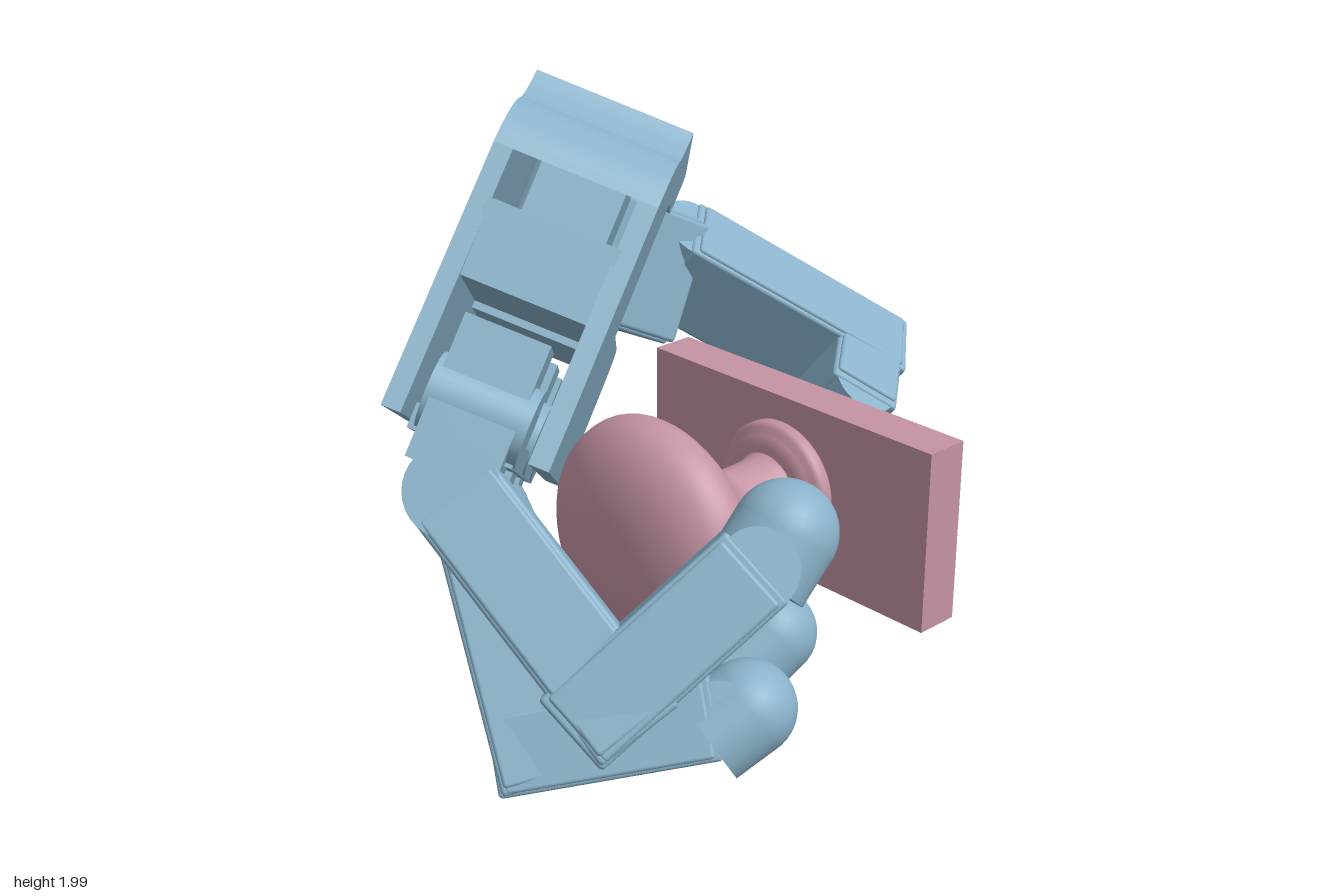
import * as THREE from 'three';
import { RoundedBoxGeometry } from 'three/addons/geometries/RoundedBoxGeometry.js';

const steel = new THREE.MeshStandardMaterial({ color: 0x8ab2ca });
const rose = new THREE.MeshStandardMaterial({ color: 0xc594a4 });
const V = (x, y, z) => new THREE.Vector3(x, y, z);

function add(parent, name, geo, mat = steel) {
  const m = new THREE.Mesh(geo, mat);
  m.name = name;
  parent.add(m);
  return m;
}

function box(parent, name, min, max, mat) {
  const m = add(parent, name, new THREE.BoxGeometry(max[0] - min[0], max[1] - min[1], max[2] - min[2]), mat);
  m.position.set((min[0] + max[0]) / 2, (min[1] + max[1]) / 2, (min[2] + max[2]) / 2);
}

// Finger link: its outer face runs from a to b, its body lies on the inward side
function link(parent, name, a, b, inward, w, t) {
  const d = b.clone().sub(a), len = d.length();
  d.normalize();
  const n = inward.clone().addScaledVector(d, -inward.dot(d)).normalize();
  const s = n.clone().cross(d);
  const g = new THREE.Group();
  g.name = name;
  g.quaternion.setFromRotationMatrix(new THREE.Matrix4().makeBasis(s, n, d));
  g.position.copy(a);
  parent.add(g);
  const core = add(g, name + 'Body', new RoundedBoxGeometry(w - 0.02, t, len, 2, 0.012));
  core.position.set(0, t / 2, len / 2);
  // side plates, a little shorter than the body
  for (const k of [-1, 1]) {
    const plate = add(g, name + 'SidePlate', new RoundedBoxGeometry(0.03, t - 0.02, len - 0.04, 2, 0.01));
    plate.position.set(k * (w / 2 - 0.015), t / 2, len / 2);
  }
}

// Cylinder between two points
function rod(parent, name, a, b, r) {
  const d = b.clone().sub(a), len = d.length();
  const m = add(parent, name, new THREE.CylinderGeometry(r, r, len, 32));
  m.quaternion.setFromUnitVectors(V(0, 1, 0), d.normalize());
  m.position.copy(a).addScaledVector(d, len / 2);
}

function pin(parent, name, c, axis, w, r) {
  rod(parent, name, c.clone().addScaledVector(axis, -w / 2), c.clone().addScaledVector(axis, w / 2), r);
}

// Round-ended pad
function tip(parent, name, a, b, r) {
  rod(parent, name, a, b, r);
  add(parent, name + 'Dome', new THREE.SphereGeometry(r, 32, 20)).position.copy(b);
}

// Plate lying across the palm: outline in (x, z), thickness along y
function slab(parent, name, shape, y0, y1) {
  const g = new THREE.ExtrudeGeometry(shape, { depth: y1 - y0, bevelEnabled: false, curveSegments: 10 });
  g.rotateX(Math.PI / 2).translate(0, y1, 0);
  add(parent, name, g);
}

function edgeCurve(s) {
  s.moveTo(0, 0);
  s.quadraticCurveTo(-0.03, 0.075, -0.08, 0.095);
  s.quadraticCurveTo(-0.2, 0.13, -0.227, 0.25);
}

function buildPalm(hand) {
  const outline = new THREE.Shape();
  edgeCurve(outline);
  outline.lineTo(-0.278, 0.94);
  outline.lineTo(0.888, 0.94);
  outline.lineTo(0.855, 0.62);
  outline.quadraticCurveTo(0.835, 0.515, 0.71, 0.515);
  outline.lineTo(0.3, 0.525);
  outline.lineTo(0.28, 0.17);
  outline.quadraticCurveTo(0.28, 0.14, 0.33, 0.135);
  outline.lineTo(0.59, 0.12);
  outline.lineTo(0.582, 0);
  slab(hand, 'backPlate', outline, 0, 0.05);
  slab(hand, 'palmPlate', outline, 0.375, 0.428);
  const wrist = new THREE.Shape();
  edgeCurve(wrist);
  wrist.lineTo(0, 0.19);
  wrist.lineTo(0.28, 0.15);
  wrist.lineTo(0.59, 0.12);
  wrist.lineTo(0.582, 0);
  slab(hand, 'wristBlock', wrist, 0.04, 0.385);
  box(hand, 'middleRib', [-0.24, 0.04, 0.38], [0.29, 0.385, 0.58]);
  box(hand, 'outerRib', [0.25, 0.04, 0.535], [0.81, 0.385, 0.6]);
  box(hand, 'driveBox', [0, 0.1, 0.18], [0.24, 0.33, 0.4]);
  box(hand, 'knuckleBar', [-0.22, 0.07, 0.9], [0.85, 0.34, 0.965]);
}

// u: sideways place at knuckle, first joint, second joint and tip; angles: bend of each link
function buildFinger(hand, name, u, angles, pad) {
  const g = new THREE.Group();
  g.name = name;
  hand.add(g);
  const dir = a => V(0, Math.sin(a * Math.PI / 180), Math.cos(a * Math.PI / 180));
  const inn = a => dir(a + 90);
  const X = V(1, 0, 0);
  const k = V(u[0], 0.18, 1.165);
  const p = k.clone().addScaledVector(dir(angles[0]), 0.725).setX(u[1]);
  const d = p.clone().addScaledVector(dir(angles[1]), 0.58).setX(u[2]);
  const t = V(u[3], pad[0], pad[1]);
  // knuckle mount inside the palm
  box(g, 'knuckleMount', [u[0] - 0.08, 0.1, 0.66], [u[0] + 0.1, 0.32, 0.88]);
  pin(g, 'spreadJoint', V(u[0], 0.215, 0.86), V(0, 1, 0), 0.26, 0.1);
  box(g, 'knuckleBlock', [u[0] - 0.1, 0.1, 0.88], [u[0] + 0.1, 0.32, 1.03]);
  // links, the lower one rounded at the knuckle
  pin(g, 'knuckle', k.clone().addScaledVector(inn(angles[0]), 0.115), X, 0.315, 0.115);
  link(g, 'lowerLink', k, p, inn(angles[0]), 0.315, 0.23);
  link(g, 'middleLink', p, d, inn(angles[1]), 0.295, 0.22);
  pin(g, 'middleJoint', p.clone().addScaledVector(inn(angles[0]), 0.17).addScaledVector(dir(angles[0]), -0.13), X, 0.26, 0.08);
  pin(g, 'endJoint', d.clone().addScaledVector(inn(angles[1]), 0.105).addScaledVector(dir(angles[1]), -0.01), X, 0.27, 0.1);
  tip(g, 'pad', t.clone().addScaledVector(dir(angles[2]), -0.13), t, 0.13);
}

function buildThumb(root) {
  const g = new THREE.Group();
  g.name = 'thumb';
  root.add(g);
  const axis = V(-0.62, -0.775, 0.13).normalize();
  const o1 = V(-0.5, 1.4, -0.4), o2 = V(-0.115, 0.975, -0.95), o3 = V(0.115, 0.845, -0.65);
  const d2 = o2.clone().sub(o1).normalize(), d3 = o3.clone().sub(o2).normalize();
  const in2 = axis.clone().cross(d2), in3 = axis.clone().cross(d3);
  const f = V(0.056, -0.825, 0.562), base = V(-0.43, 1.476, 0.07);
  const j1 = o1.clone().addScaledVector(in2, 0.11).addScaledVector(d2, 0.05);
  // swivel in the palm notch and first link
  pin(g, 'thumbSwivel', base, f, 0.36, 0.14);
  const end = j1.clone().addScaledVector(f, -0.55 * j1.clone().sub(base).dot(f));
  const across = end.clone().sub(base).cross(f).normalize();
  link(g, 'thumbBase', base.clone().addScaledVector(across, -0.12), end.addScaledVector(across, -0.12), across, 0.37, 0.24);
  pin(g, 'thumbKnuckle', j1, axis, 0.26, 0.105);
  // outer links and pad
  link(g, 'thumbLowerLink', o1.clone().addScaledVector(d2, 0.04), o2, in2, 0.3, 0.22);
  link(g, 'thumbMiddleLink', o2, o3, in3, 0.295, 0.22);
  pin(g, 'thumbMiddleJoint', o2.clone().addScaledVector(in2, 0.17).addScaledVector(d2, -0.13), axis, 0.26, 0.08);
  pin(g, 'thumbEndJoint', o3.clone().addScaledVector(in3, 0.11).addScaledVector(d3, -0.04), axis, 0.26, 0.1);
  tip(g, 'thumbPad', V(0.08, 0.85, -0.63), V(0.12, 0.852, -0.495), 0.13);
}

function buildKnob(root) {
  const g = new THREE.Group();
  g.name = 'doorKnob';
  root.add(g);
  box(g, 'doorPlate', [-0.35, 0.582, -0.362], [0.682, 1.1, -0.235], rose);
  // collar
  const collar = [[0, -0.24], [0.18, -0.24], [0.192, -0.225], [0.192, -0.2], [0.18, -0.188], [0.165, -0.186],
    [0.16, -0.178], [0.13, -0.165], [0, -0.16]];
  // neck and grip
  const curve = new THREE.SplineCurve([[0.12, -0.175], [0.104, -0.14], [0.103, -0.03], [0.125, 0.02], [0.19, 0.09], [0.28, 0.165],
    [0.326, 0.215], [0.335, 0.26], [0.31, 0.32], [0.24, 0.37], [0.13, 0.4], [0, 0.408]].map(q => new THREE.Vector2(...q)));
  const grip = curve.getPoints(50);
  grip[50].x = 0;
  for (const [name, pts] of [['collar', collar.map(q => new THREE.Vector2(...q))], ['grip', grip]]) {
    const m = add(g, name, new THREE.LatheGeometry(pts, 56), rose);
    m.rotation.x = Math.PI / 2;
    m.position.set(0.165, 0.84, 0);
  }
}

export function createModel() {
  const root = new THREE.Group();
  root.name = 'robotHandOnDoorKnob';
  // hand frame: x across the palm, y out of the palm, z towards the fingers
  const hand = new THREE.Group();
  hand.name = 'hand';
  hand.quaternion.setFromRotationMatrix(new THREE.Matrix4().makeBasis(
    V(-0.685, -0.442, -0.581), V(0.748, -0.339, -0.572), V(0.056, -0.825, 0.562)));
  hand.position.set(-0.275, 2, 0.24);
  root.add(hand);
  buildPalm(hand);
  buildFinger(hand, 'firstFinger', [-0.19, -0.24, -0.265, -0.256], [60, 154, 170], [1.0, 0.86]);
  buildFinger(hand, 'secondFinger', [0.29, 0.265, 0.22, 0.195], [37, 122, 148], [1.115, 1.3]);
  buildFinger(hand, 'thirdFinger', [0.71, 0.73, 0.65, 0.61], [47, 130, 156], [1.135, 1.1]);
  buildThumb(root);
  buildKnob(root);
  return root;
}
